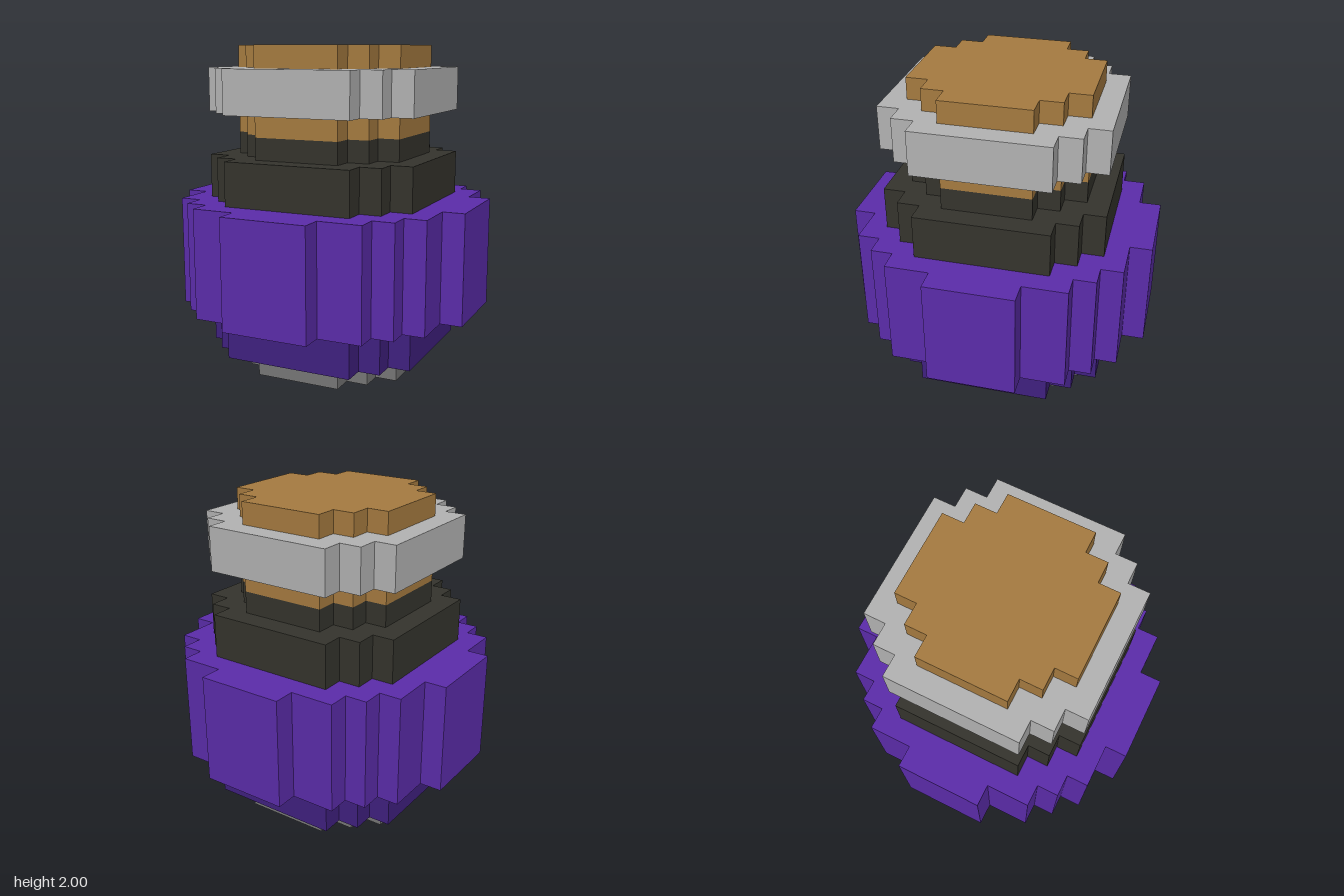
import * as THREE from 'three';

// Everything sits on a grid of 15 steps over the height.
const U = 2 / 15;

// One quadrant of each stepped disc, as [half width, half depth] of its slabs.
const SMALL = [[4, 2], [3, 3], [2, 4]];
const MEDIUM = [[5, 3], [4, 4], [3, 5]];
const LARGE = [[7, 2], [6, 4], [5, 5], [4, 6], [2, 7]];

// Stepped round outline, mirrored from one quadrant into all four.
function steppedShape(steps) {
  const quarter = [];
  steps.forEach(([x, y], i) => {
    quarter.push([x, y]);
    if (i < steps.length - 1) quarter.push([steps[i + 1][0], y]);
  });
  const back = [...quarter].reverse();
  const outline = [
    ...quarter,
    ...back.map(([x, y]) => [-x, y]),
    ...quarter.map(([x, y]) => [-x, -y]),
    ...back.map(([x, y]) => [x, -y]),
  ];
  return new THREE.Shape(outline.map(([x, y]) => new THREE.Vector2(x * U, y * U)));
}

function flat(name, color) {
  const material = new THREE.MeshStandardMaterial({ color });
  material.name = name;
  return material;
}

export function createModel() {
  const group = new THREE.Group();
  group.name = 'roundJar';

  const baseGray = flat('base gray', 0x777777);
  const indigo = flat('indigo', 0x402080);
  const purple = flat('purple', 0x5b2caa);
  const charcoal = flat('charcoal', 0x35342d);
  const cork = flat('cork', 0xa67b40);
  const lightGray = flat('light gray', 0xb3b3b3);

  // Layers from the bottom up: name, outline, first step, last step, material.
  const layers = [
    ['foot', SMALL, 0, 1, baseGray],
    ['lowerBody', MEDIUM, 1, 3, indigo],
    ['body', LARGE, 3, 8, purple],
    ['shoulder', MEDIUM, 8, 10, charcoal],
    ['neck', SMALL, 10, 11, charcoal],
    ['corkBottom', SMALL, 11, 12, cork],
    ['collar', MEDIUM, 12, 14, lightGray],
    ['corkTop', SMALL, 14, 15, cork],
  ];

  for (const [name, steps, from, to, material] of layers) {
    const geometry = new THREE.ExtrudeGeometry(steppedShape(steps), {
      depth: (to - from) * U,
      bevelEnabled: false,
    });
    geometry.rotateX(-Math.PI / 2);
    const mesh = new THREE.Mesh(geometry, material);
    mesh.name = name;
    mesh.position.y = from * U;
    group.add(mesh);
  }
  return group;
}
